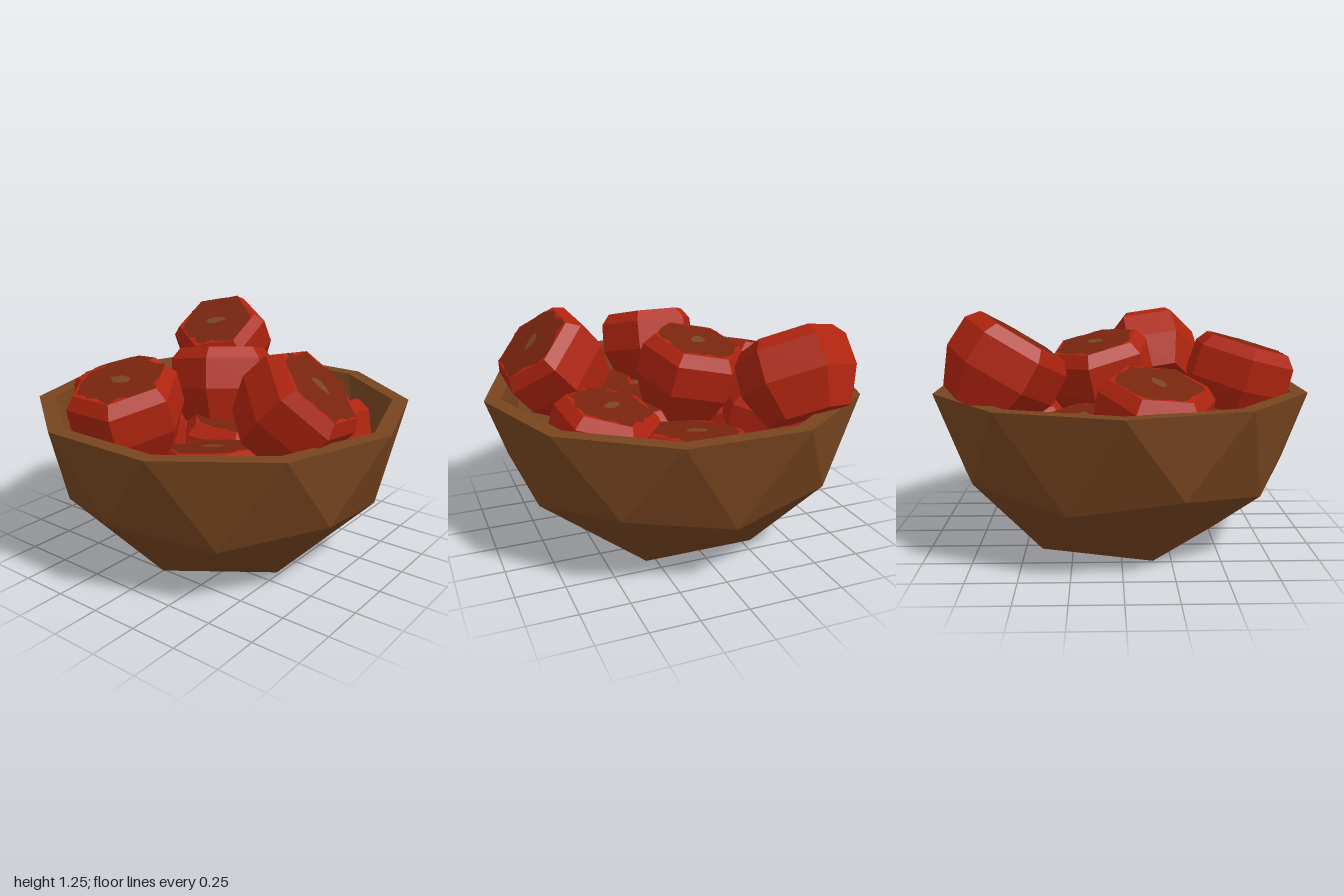
import * as THREE from 'three';

const DEG = Math.PI / 180;
const RIM_Y = 0.83, INNER = 0.915;

const material = (name, color) => {
  const m = new THREE.MeshStandardMaterial({ color, flatShading: true });
  m.name = name;
  return m;
};

function seeded(seed) {
  let s = seed;
  return () => (s = (s * 16807) % 2147483647) / 2147483647;
}

function addMesh(parent, name, geometry, mat) {
  const mesh = new THREE.Mesh(geometry, mat);
  mesh.name = name;
  parent.add(mesh);
  return mesh;
}

function triangles(points) {
  const g = new THREE.BufferGeometry().setFromPoints(points);
  g.computeVertexNormals();
  return g;
}

// Lower half of a faceted sphere with a flat five-sided foot
function halfShell(scale, inward) {
  const at = (r, y, deg) => new THREE.Vector3(
    r * scale * Math.cos(deg * DEG), RIM_Y - (RIM_Y - y) * scale, r * scale * Math.sin(deg * DEG));
  const foot = a => at(0.51, 0, a), high = a => at(0.9, 0.42, a);
  const low = a => at(0.85, 0.34, a), rim = a => at(1, RIM_Y, a);
  const out = [];
  const tri = (a, b, c) => out.push(a, ...(inward ? [c, b] : [b, c]));
  for (let k = 0; k < 5; k++) {
    const a = 180 + 72 * k, m = a + 36, b = a + 72;
    tri(high(a), rim(a - 18), rim(a + 18));
    tri(low(m), rim(m - 18), rim(m + 18));
    tri(rim(a + 18), low(m), high(a));
    tri(rim(m + 18), high(b), low(m));
    tri(foot(a), high(a), low(m));
    tri(foot(b), low(m), high(b));
    tri(low(m), foot(b), foot(a));
    tri(at(0, 0, 0), foot(a), foot(b));
  }
  return triangles(out);
}

// Flat ten-sided lip between the two shells
function lip() {
  const out = [];
  const p = (r, a) => new THREE.Vector3(r * Math.cos(a * DEG), RIM_Y, r * Math.sin(a * DEG));
  for (let a = 18; a < 378; a += 36) {
    out.push(p(1, a), p(INNER, a), p(1, a + 36));
    out.push(p(INNER, a), p(INNER, a + 36), p(1, a + 36));
  }
  return triangles(out);
}

// Ragged flat patch, radius given per angle
function patch(count, radius, y) {
  const pts = [];
  for (let i = 0; i < count; i++) {
    const a = (i / count) * Math.PI * 2, [rx, rz] = radius(a);
    pts.push(new THREE.Vector2(rx * Math.sin(a), rz * Math.cos(a)));
  }
  return new THREE.ShapeGeometry(new THREE.Shape(pts)).rotateX(-Math.PI / 2).translate(0, y, 0);
}

// Six-sided fruit; its origin is the middle of the cap
const FRUIT_PROFILE = [[0, -0.41], [0.21, -0.4], [0.29, -0.22], [0.283, -0.06], [0.235, 0], [0, 0]]
  .map(([r, y]) => new THREE.Vector2(r, y));

function makeFruit(index, mats) {
  const fruit = new THREE.Group();
  const rand = seeded(97 + index * 131);
  addMesh(fruit, 'fruitBody', new THREE.LatheGeometry(FRUIT_PROFILE, 6), mats.red);
  const hex = a => {
    const t = a % (Math.PI / 3) - Math.PI / 6;
    return 0.235 * Math.cos(Math.PI / 6) / Math.cos(t);
  };
  addMesh(fruit, 'fruitCap', patch(30, a => {
    const r = hex(a) * (0.86 + 0.14 * Math.min(1, rand() * 1.6));
    return [r, r];
  }, 0.003), mats.cap);
  addMesh(fruit, 'stemMark', patch(9, () => {
    const j = 0.75 + rand() * 0.5;
    return [0.03 * j, 0.055 * j];
  }, 0.006), mats.brown);
  return fruit;
}

// Cap centre, cap direction, turn of the hexagon in degrees
const FRUITS = [
  [[-0.17, 0.93, -0.64], [-0.13, 0.95, -0.22], -8],
  [[0.18, 0.76, -0.55], [0.1, 0.97, -0.1], 20],
  [[0.48, 1.13, -0.42], [-0.5, 0.83, 0.08], 0],
  [[0.56, 0.74, 0.08], [-0.08, 0.98, -0.08], 30],
  [[0.13, 1.07, -0.1], [0.2, 0.96, -0.16], -20],
  [[-0.03, 0.74, 0.1], [0.05, 0.98, 0.05], 20],
  [[-0.67, 1.06, -0.1], [-0.27, 0.95, 0], 30],
  [[-0.4, 0.75, -0.3], [-0.1, 0.97, -0.12], 30],
  [[-0.44, 0.74, 0.28], [0.12, 0.96, -0.14], 5],
  [[-0.18, 1.06, 0.71], [0.14, 0.72, 0.66], 0],
  [[0.27, 0.82, 0.42], [0.13, 0.95, -0.2], -8],
];

export function createModel() {
  const model = new THREE.Group();
  model.name = 'fruitBowl';
  const mats = {
    brown: material('woodBrown', 0x784520),
    red: material('fruitRed', 0xb0240f),
    cap: material('capRedBrown', 0x78240e),
  };

  const bowl = new THREE.Group();
  bowl.name = 'bowl';
  model.add(bowl);
  addMesh(bowl, 'bowlOutside', halfShell(1, false), mats.brown);
  addMesh(bowl, 'bowlInside', halfShell(INNER, true), mats.brown);
  addMesh(bowl, 'bowlRim', lip(), mats.brown);

  FRUITS.forEach(([pos, dir, turn], i) => {
    const fruit = makeFruit(i, mats);
    fruit.name = 'fruit' + (i + 1);
    fruit.position.set(...pos);
    fruit.quaternion
      .setFromUnitVectors(new THREE.Vector3(0, 1, 0), new THREE.Vector3(...dir).normalize())
      .multiply(new THREE.Quaternion().setFromAxisAngle(new THREE.Vector3(0, 1, 0), (30 - turn) * DEG));
    model.add(fruit);
  });
  return model;
}
